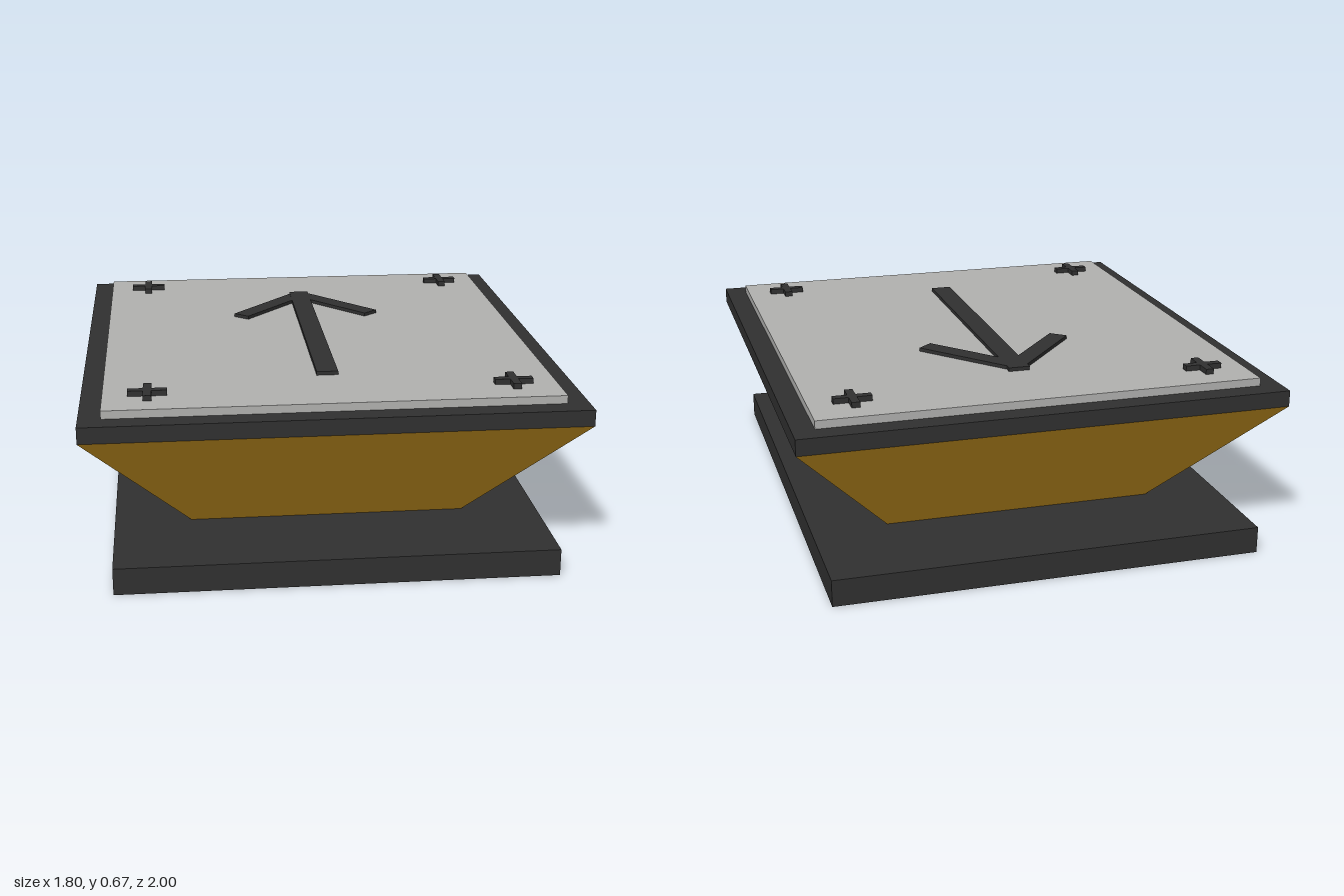
import * as THREE from 'three';

export function createModel() {
  const model = new THREE.Group();
  model.name = 'arrowPad';

  const material = (name, color) => {
    const m = new THREE.MeshStandardMaterial({ color });
    m.name = name;
    return m;
  };
  const dark = material('charcoal', 0x303030);
  const grey = material('plateGrey', 0xb2b2b0);
  const gold = material('ochre', 0xe0a526);

  // Box given by its width, depth and the heights of its bottom and top
  const slab = (name, mat, w, d, y0, y1, x = 0, z = 0, parent = model) => {
    const mesh = new THREE.Mesh(new THREE.BoxGeometry(w, y1 - y0, d), mat);
    mesh.name = name;
    mesh.position.set(x, (y0 + y1) / 2, z);
    parent.add(mesh);
    return mesh;
  };

  slab('base', dark, 1.6, 2, 0, 0.1);

  // Body: a box whose lower rim is drawn in
  const body = slab('taperedBody', gold, 1.8, 1.96, 0.1, 0.56);
  const p = body.geometry.attributes.position;
  for (let i = 0; i < p.count; i++) {
    if (p.getY(i) < 0) {
      p.setX(i, Math.sign(p.getX(i)) * 0.515);
      p.setZ(i, Math.sign(p.getZ(i)) * 0.595);
    }
  }
  body.geometry.computeVertexNormals();

  slab('rim', dark, 1.8, 1.96, 0.56, 0.62);
  slab('topPlate', grey, 1.64, 1.8, 0.62, 0.65);

  // Arrow pointing to the back
  const arrow = new THREE.Group();
  arrow.name = 'arrow';
  model.add(arrow);
  slab('arrowShaft', dark, 0.08, 1.16, 0.65, 0.664, 0, 0, arrow);
  for (const s of [-1, 1]) {
    const barb = slab('arrowBarb', dark, 0.072, 0.42, 0.65, 0.6635, s * 0.135, -0.385, arrow);
    barb.rotation.y = s * 0.71;
  }

  // Cross marks in the corners
  for (const x of [-0.66, 0.66]) {
    for (const z of [-0.74, 0.74]) {
      const cross = new THREE.Group();
      cross.name = 'cornerCross';
      model.add(cross);
      slab('crossBarWide', dark, 0.14, 0.03, 0.65, 0.67, x, z, cross);
      for (const s of [-1, 1]) {
        slab('crossBarEnd', dark, 0.03, 0.055, 0.65, 0.67, x, z + s * 0.0425, cross);
      }
    }
  }

  return model;
}
